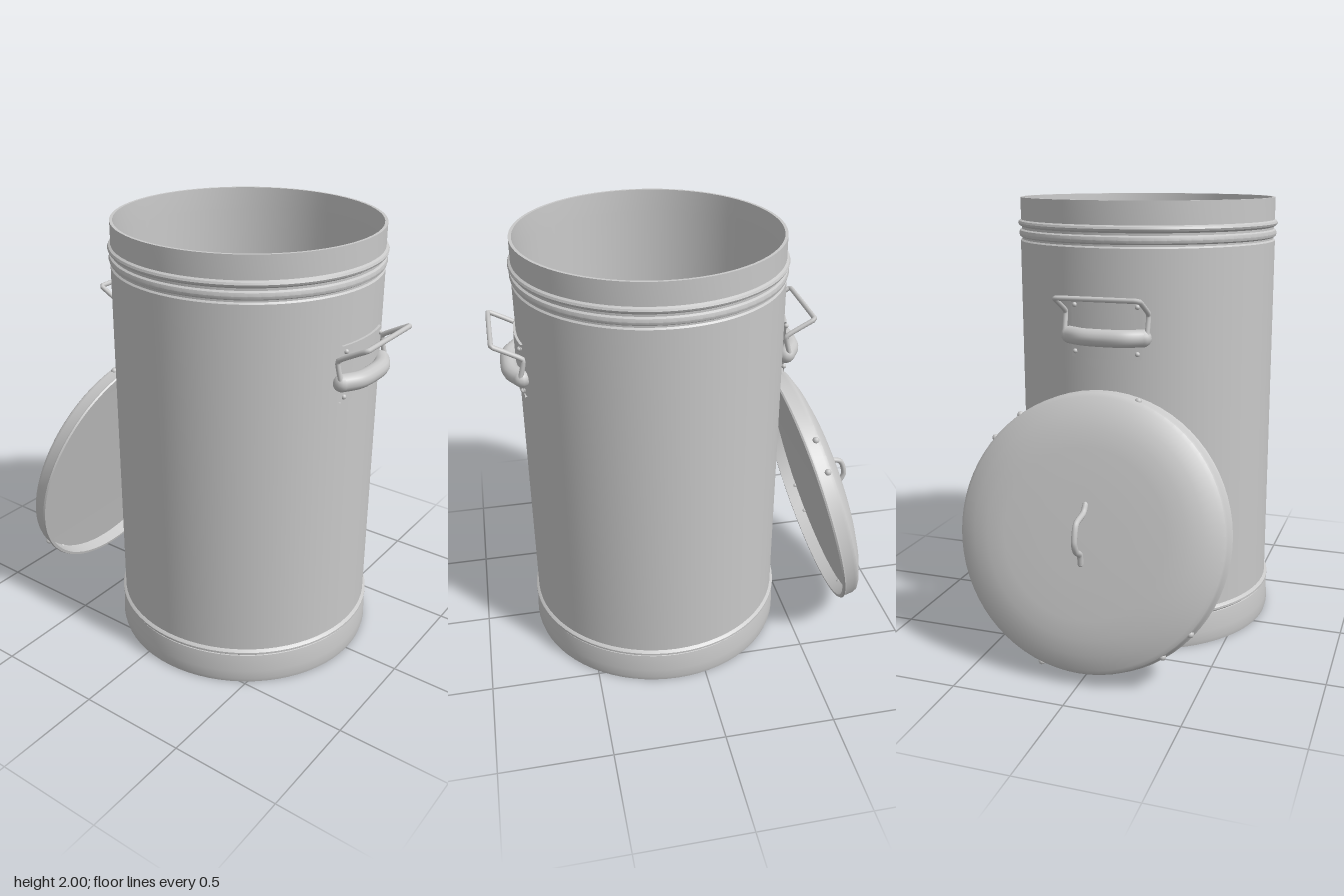
import * as THREE from 'three';
import { toCreasedNormals } from 'three/addons/utils/BufferGeometryUtils.js';

const metal = new THREE.MeshStandardMaterial({ color: 0xc8c8c8, side: THREE.DoubleSide });
metal.name = 'galvanised metal';

const V = (x, y, z) => new THREE.Vector3(x, y, z);

function add(parent, name, geometry) {
  const mesh = new THREE.Mesh(geometry, metal);
  mesh.name = name;
  parent.add(mesh);
  return mesh;
}

// Turned sheet-metal part from [radius, height] pairs
function turned(profile, segments = 72, start = 0, length = Math.PI * 2) {
  const pts = profile.map(([r, y]) => new THREE.Vector2(r, y));
  return toCreasedNormals(new THREE.LatheGeometry(pts, segments, start, length), 0.6);
}

// Bent round bar through a few points, with rounded ends
function bar(parent, name, points, radius, tension = 0.15, radial = 10) {
  const curve = new THREE.CatmullRomCurve3(points, false, 'catmullrom', tension);
  add(parent, name, new THREE.TubeGeometry(curve, 64, radius, radial));
  for (const p of [points[0], points[points.length - 1]]) {
    add(parent, name + 'End', new THREE.SphereGeometry(radius, radial, 8)).position.copy(p);
  }
}

function rivet(parent, position, radius) {
  const r = add(parent, 'rivet', new THREE.SphereGeometry(radius, 10, 8));
  r.position.copy(position);
}

// Side handle on the +x side of the bin
function createHandle() {
  const g = new THREE.Group();
  g.name = 'sideHandle';

  // Curved mounting plate with four rivets
  const plate = [[0.592, 1.34], [0.604, 1.34], [0.604, 1.59], [0.592, 1.59]];
  add(g, 'mountingPlate', turned(plate, 10, Math.PI / 2 - 0.265, 0.53));
  for (const y of [1.365, 1.565]) {
    for (const s of [-1, 1]) {
      const a = 0.235 * s;
      rivet(g, V(0.604 * Math.cos(a), y, 0.604 * Math.sin(a)), 0.011);
    }
  }

  // Thick bowed grip
  bar(g, 'grip', [V(0.588, 1.435, -0.165), V(0.628, 1.435, -0.09), V(0.636, 1.435, 0),
    V(0.628, 1.435, 0.09), V(0.588, 1.435, 0.165)], 0.038, 0.5, 14);

  // Wire bail, leaning outwards
  bar(g, 'bail', [V(0.6, 1.43, -0.185), V(0.577, 1.535, -0.187), V(0.69, 1.599, -0.187),
    V(0.705, 1.606, -0.172), V(0.705, 1.606, 0.172), V(0.69, 1.599, 0.187),
    V(0.577, 1.535, 0.187), V(0.6, 1.43, 0.185)], 0.011);
  return g;
}

function createBin() {
  const bin = new THREE.Group();
  bin.name = 'bin';

  // Base band
  add(bin, 'base', turned([[0, 0], [0.602, 0], [0.607, 0.02], [0.606, 0.06],
    [0.603, 0.11], [0.598, 0.143], [0.585, 0.148]]));

  // Wall with pressed ridges, hollow inside
  add(bin, 'wall', turned([
    [0.59, 0.14], [0.598, 0.15], [0.606, 0.155], [0.606, 0.165], [0.598, 0.172], [0.593, 0.175],
    [0.593, 1.805], [0.586, 1.812], [0.586, 1.82], [0.596, 1.826], [0.6, 1.838], [0.596, 1.852],
    [0.587, 1.858], [0.587, 1.868], [0.6, 1.876], [0.604, 1.885], [0.6, 1.894], [0.59, 1.9],
    [0.59, 2], [0.577, 2], [0.572, 1.9], [0.572, 0.03], [0, 0.03],
  ]));

  for (const turn of [0, Math.PI]) {
    const handle = createHandle();
    handle.rotation.y = turn;
    bin.add(handle);
  }
  return bin;
}

// Lid built lying flat, its top along +y
function createLid() {
  const lid = new THREE.Group();
  lid.name = 'lid';

  // Domed shell with rim skirt and recessed underside
  add(lid, 'lidShell', turned([
    [0, 0.065], [0.585, 0.06], [0.589, 0], [0.603, 0], [0.607, 0.008], [0.601, 0.018],
    [0.598, 0.06], [0.592, 0.076], [0.575, 0.088], [0.51, 0.114], [0.44, 0.132],
    [0.36, 0.138], [0.2, 0.141], [0, 0.142],
  ].map(([r, y]) => [r, y])));

  // Bent lifting handle
  bar(lid, 'lidHandle', [V(0.125, 0.138, 0), V(0.088, 0.158, 0), V(0.05, 0.23, 0),
    V(-0.025, 0.237, 0), V(-0.066, 0.206, 0), V(-0.083, 0.16, 0), V(-0.124, 0.138, 0)], 0.013, 0.4);

  // Skirt rivets
  for (const z of [-0.47, -0.36, 0.17]) {
    const x = Math.sqrt(0.595 ** 2 - z * z);
    for (const s of [1, -1]) rivet(lid, V(x * s, 0.058, z * s), 0.016);
  }
  return lid;
}

export function createModel() {
  const model = new THREE.Group();
  model.name = 'metalBinWithLid';

  const bin = createBin();
  bin.position.x = 0.138;
  model.add(bin);

  // Lid leans against the bin's right side
  const lid = createLid();
  lid.position.set(-0.613, 0.615, 0);
  lid.rotation.z = THREE.MathUtils.degToRad(75.4);
  model.add(lid);
  return model;
}
